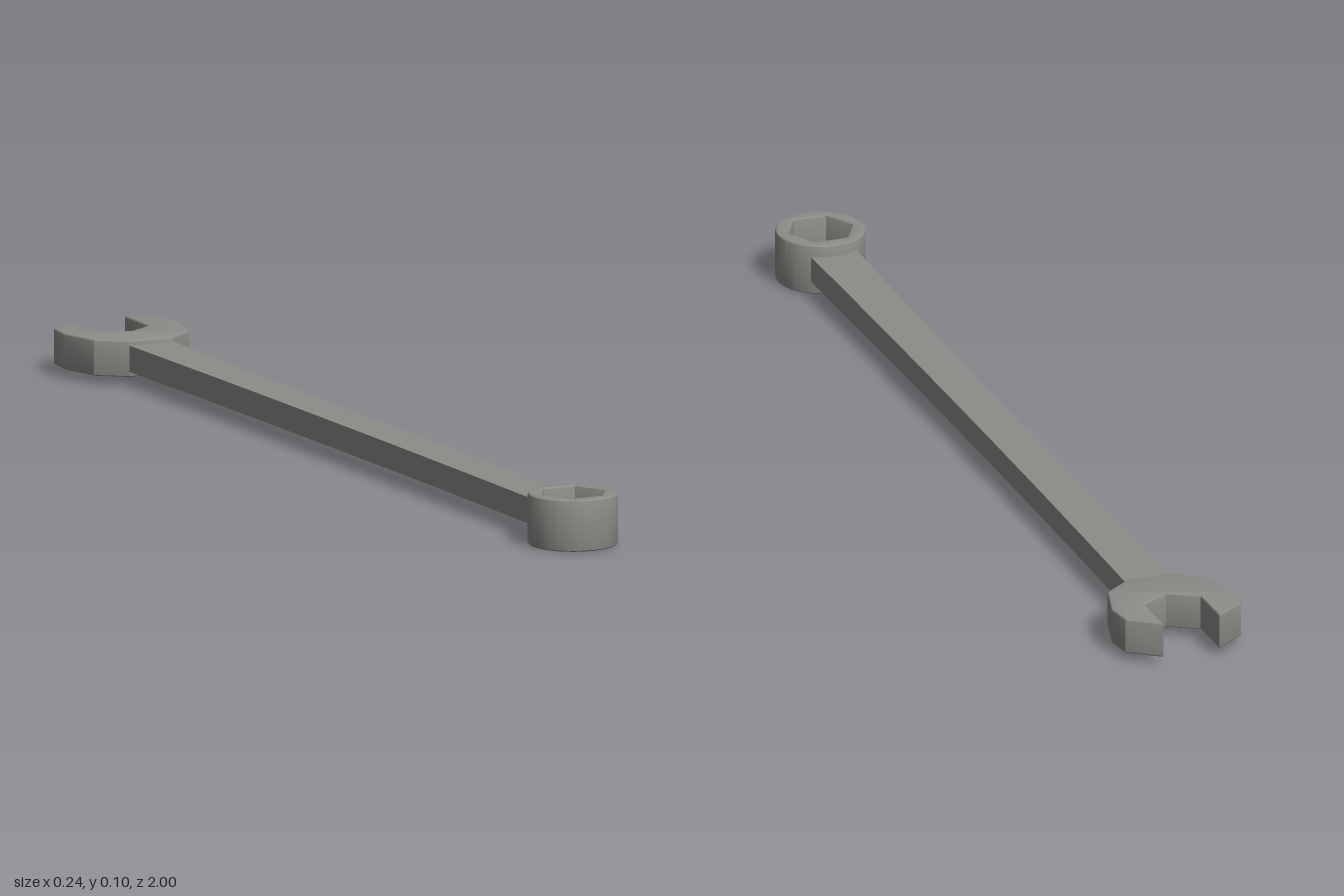
import * as THREE from 'three';
import { toCreasedNormals } from 'three/addons/utils/BufferGeometryUtils.js';

const steel = new THREE.MeshStandardMaterial({ color: 0x8c8d88 });
steel.name = 'steel grey';

// Extrude a plan outline (x, z) between two heights, with softly rounded edges
function slab(name, shape, bottom, top, bevel) {
  const geometry = new THREE.ExtrudeGeometry(shape, {
    depth: top - bottom - 2 * bevel,
    bevelEnabled: bevel > 0,
    bevelThickness: bevel,
    bevelSize: bevel,
    bevelOffset: -bevel,
    bevelSegments: 3,
    curveSegments: 48,
  });
  geometry.rotateX(Math.PI / 2);
  geometry.translate(0, top - bevel, 0);
  const mesh = new THREE.Mesh(toCreasedNormals(geometry, 0.4), steel);
  mesh.name = name;
  return mesh;
}

export function createModel() {
  const group = new THREE.Group();
  group.name = 'combinationWrench';

  // Box end: round collar with a hexagonal hole, corners pointing sideways
  const ringZ = 0.917;
  const ring = new THREE.Shape();
  ring.absarc(0, ringZ, 0.083, 0, Math.PI * 2, false);
  const hexagon = [];
  for (let i = 0; i < 6; i++) {
    const a = (i * Math.PI) / 3;
    hexagon.push(new THREE.Vector2(0.063 * Math.cos(a), ringZ + 0.063 * Math.sin(a)));
  }
  ring.holes.push(new THREE.Path(hexagon));
  group.add(slab('boxEnd', ring, 0, 0.097, 0.005));

  // Open end: faceted jaw, one half outline mirrored across x
  const half = [
    [0.045, -0.785], [0.098, -0.825], [0.12, -0.905], [0.113, -0.958],
    [0.055, -1], [0.055, -0.903],
  ];
  const outline = [
    ...half,
    [0, -0.87],
    ...half.map(([x, z]) => [-x, z]).reverse(),
  ].map(([x, z]) => new THREE.Vector2(x, z));
  group.add(slab('openJaw', new THREE.Shape(outline), 0.015, 0.083, 0.004));

  // Handle: flat bar, slightly waisted in the middle
  const handle = new THREE.Shape();
  handle.moveTo(-0.045, -0.79);
  handle.lineTo(0.045, -0.79);
  handle.quadraticCurveTo(0.033, 0.03, 0.045, 0.85);
  handle.lineTo(-0.045, 0.85);
  handle.quadraticCurveTo(-0.033, 0.03, -0.045, -0.79);
  group.add(slab('handle', handle, 0.025, 0.074, 0));

  return group;
}
